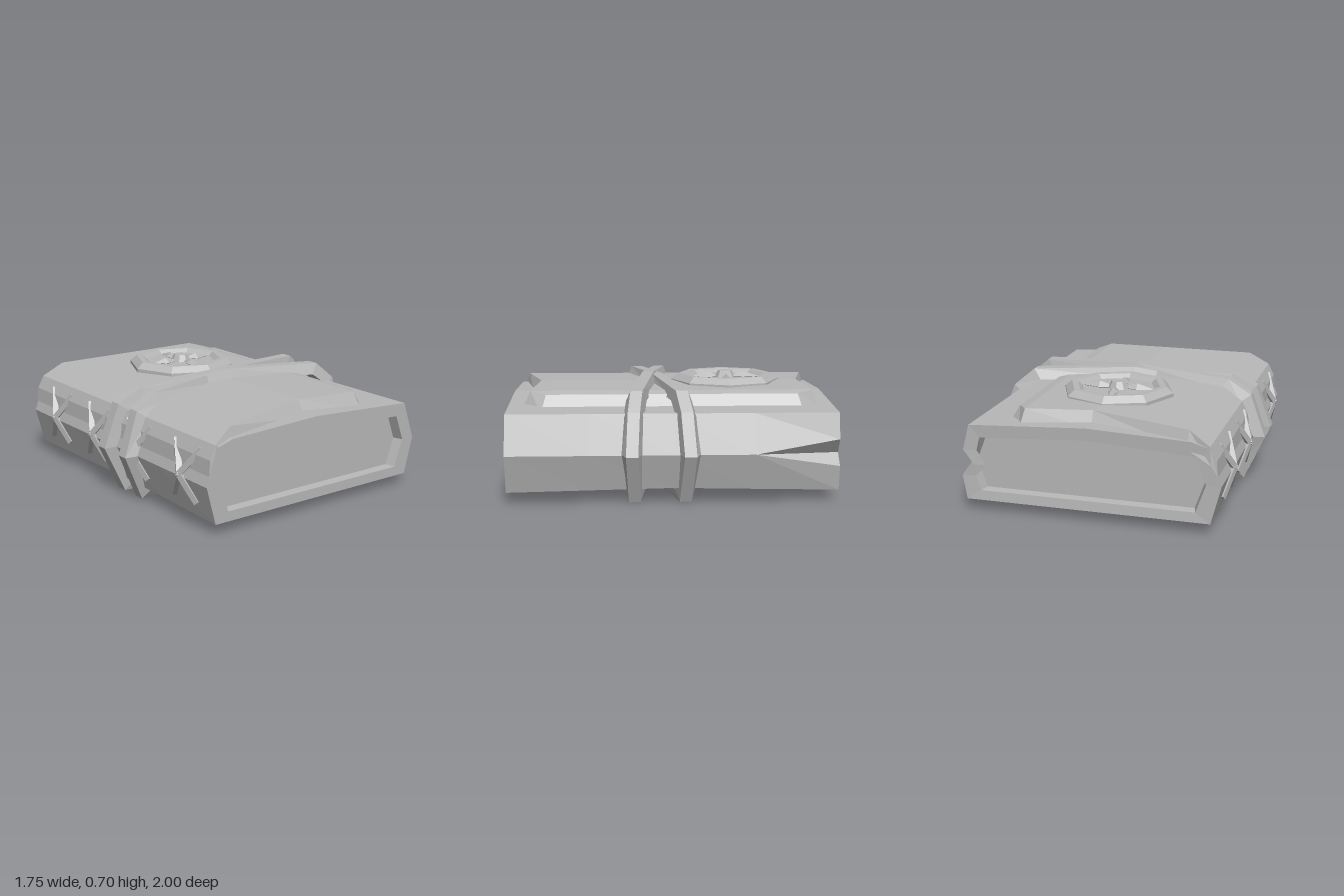
import * as THREE from 'three';

const leather = new THREE.MeshStandardMaterial({ color: 0xb8b8b8 });
leather.name = 'grey leather';

function part(name, geometry, parent) {
  const g = geometry.index ? geometry.toNonIndexed() : geometry;
  g.computeVertexNormals(); // faceted look
  const mesh = new THREE.Mesh(g, leather);
  mesh.name = name;
  parent.add(mesh);
  return mesh;
}

// Skin through rings of [x, y, z] points; either looped or capped with fans.
function loft(rings, closed = false) {
  const pos = [];
  const tri = (a, b, c) => pos.push(...a, ...b, ...c);
  const n = rings[0].length;
  const last = closed ? rings.length : rings.length - 1;
  for (let i = 0; i < last; i++) {
    const r = rings[i], s = rings[(i + 1) % rings.length];
    for (let j = 0; j < n; j++) {
      const k = (j + 1) % n;
      tri(r[j], r[k], s[k]);
      tri(r[j], s[k], s[j]);
    }
  }
  if (!closed) {
    const mid = r => [0, 1, 2].map(a => r.reduce((t, p) => t + p[a], 0) / n);
    const first = rings[0], end = rings[rings.length - 1];
    const c0 = mid(first), c1 = mid(end);
    for (let j = 0; j < n; j++) {
      const k = (j + 1) % n;
      tri(c0, first[k], first[j]);
      tri(c1, end[j], end[k]);
    }
  }
  const g = new THREE.BufferGeometry();
  g.setAttribute('position', new THREE.Float32BufferAttribute(pos, 3));
  return g;
}

// Cover section; the three right-hand points open into a tear at the back.
const outer = (z, dy = 0, tear = false) => [
  [-0.74, 0.07 + dy], [0.75, 0.07 + dy],
  ...(tear ? [[0.775, 0.22], [0.7, 0.29], [0.765, 0.38]] : [[0.81, 0.3], [0.81, 0.3], [0.81, 0.3]]),
  [0.725, 0.535], [0, 0.575], [-0.62, 0.55], [-0.72, 0.52], [-0.8, 0.3],
].map(([x, y]) => [x, y, z]);

const inner = (z, s = 1, tear = false) => [
  [-0.65, 0.13], [0.66, 0.13],
  ...(tear ? [[0.69, 0.22], [0.62, 0.29], [0.68, 0.38]] : [[0.72, 0.3], [0.72, 0.3], [0.72, 0.3]]),
  [0.66, 0.46], [0, 0.5], [-0.6, 0.465], [-0.65, 0.455], [-0.71, 0.3],
].map(([x, y]) => [x * s, 0.3 + (y - 0.3) * s, z]);

// Strap loop: outer path in x and y, slanting in z from one side to the other.
function strap(zLeft, zRight, lift) {
  const path = [[-0.75, 0.01], [0, 0], [0.75, 0.005], [0.875, 0.3], [0.78, 0.55], [0.65, 0.66],
    [0, 0.685 + lift], [-0.63, 0.655], [-0.78, 0.57], [-0.88, 0.3]];
  return loft(path.map(([x, y]) => {
    const z = zLeft + (zRight - zLeft) * (x + 0.86) / 1.72;
    const xi = x * 0.92, yi = 0.33 + (y - 0.33) * 0.8;
    return [[xi, yi, z - 0.062], [xi, yi, z + 0.062], [x, y, z + 0.036], [x, y, z - 0.036]];
  }), true);
}

// Square bar between two points.
function bar(name, a, b, w, parent) {
  const p = new THREE.Vector3(...a), q = new THREE.Vector3(...b);
  const m = part(name, new THREE.BoxGeometry(w, w, p.distanceTo(q) + w * 0.4), parent);
  m.position.copy(p).add(q).multiplyScalar(0.5);
  m.lookAt(q);
}

export function createModel() {
  const book = new THREE.Group();
  book.name = 'strappedBook';

  // Cover with recessed page block at both ends
  part('coverAndPages', loft([
    inner(-0.92, 0.975), inner(-0.98, 1, true), outer(-0.985, 0, true),
    outer(-0.48, 0.01), outer(0, 0.02), outer(0.5, 0.01), outer(1),
    inner(1), inner(0.94, 0.975),
  ]), book);

  // Raised panel: columns of x base, x top, base y, top y, base and top z reach
  const columns = [
    [-0.78, -0.77, 0.36, 0.45, 0.995, 0.99],
    [-0.74, -0.73, 0.42, 0.53, 0.995, 0.985],
    [-0.6, -0.6, 0.5, 0.61, 0.98, 0.95],
    [0, 0, 0.54, 0.64, 0.88, 0.83],
    [0.43, 0.41, 0.52, 0.63, 0.92, 0.87],
    [0.54, 0.48, 0.51, 0.615, 0.8, 0.77],
  ];
  part('raisedPanel', loft(columns.map(([xb, xt, yb, yt, zb, zt]) =>
    [[xb, yb, zb], [xb, yb, -zb], [xt, yt, -zt], [xt, yt, zt]])), book);

  // Crossed straps
  part('lowerStrap', strap(0.25, -0.09, 0), book);
  part('upperStrap', strap(0.02, 0.25, 0.012), book);

  // Octagonal medallion with a four-petal flower
  const medallion = new THREE.Group();
  medallion.name = 'medallion';
  medallion.position.set(-0.015, 0, -0.365);
  book.add(medallion);
  const rim = [[0.35, 0.58], [0.348, 0.645], [0.305, 0.682], [0.265, 0.68], [0.235, 0.655], [0, 0.655]];
  part('medallionRim', new THREE.LatheGeometry(rim.map(p => new THREE.Vector2(...p)), 8), medallion);
  for (let i = 0; i < 4; i++) {
    const a = i * Math.PI / 2;
    const petal = part('petal', new THREE.OctahedronGeometry(1).scale(0.11, 0.032, 0.034), medallion);
    petal.position.set(Math.cos(a) * 0.12, 0.658, Math.sin(a) * 0.12);
    petal.rotation.y = -a;
  }
  part('flowerCentre', new THREE.CylinderGeometry(0.045, 0.07, 0.05, 8), medallion).position.y = 0.675;

  // Crossed stitches bent over the spine
  for (const z of [-0.68, -0.21, 0.25, 0.75]) {
    const stitch = new THREE.Group();
    stitch.name = 'spineStitch';
    book.add(stitch);
    for (const s of [-1, 1]) {
      const centre = [-0.81, 0.32, z];
      bar('stitchTop', centre, [-0.74, 0.48, z + s * 0.12], 0.035, stitch);
      bar('stitchBottom', centre, [-0.765, 0.17, z - s * 0.11], 0.035, stitch);
    }
  }
  return book;
}
